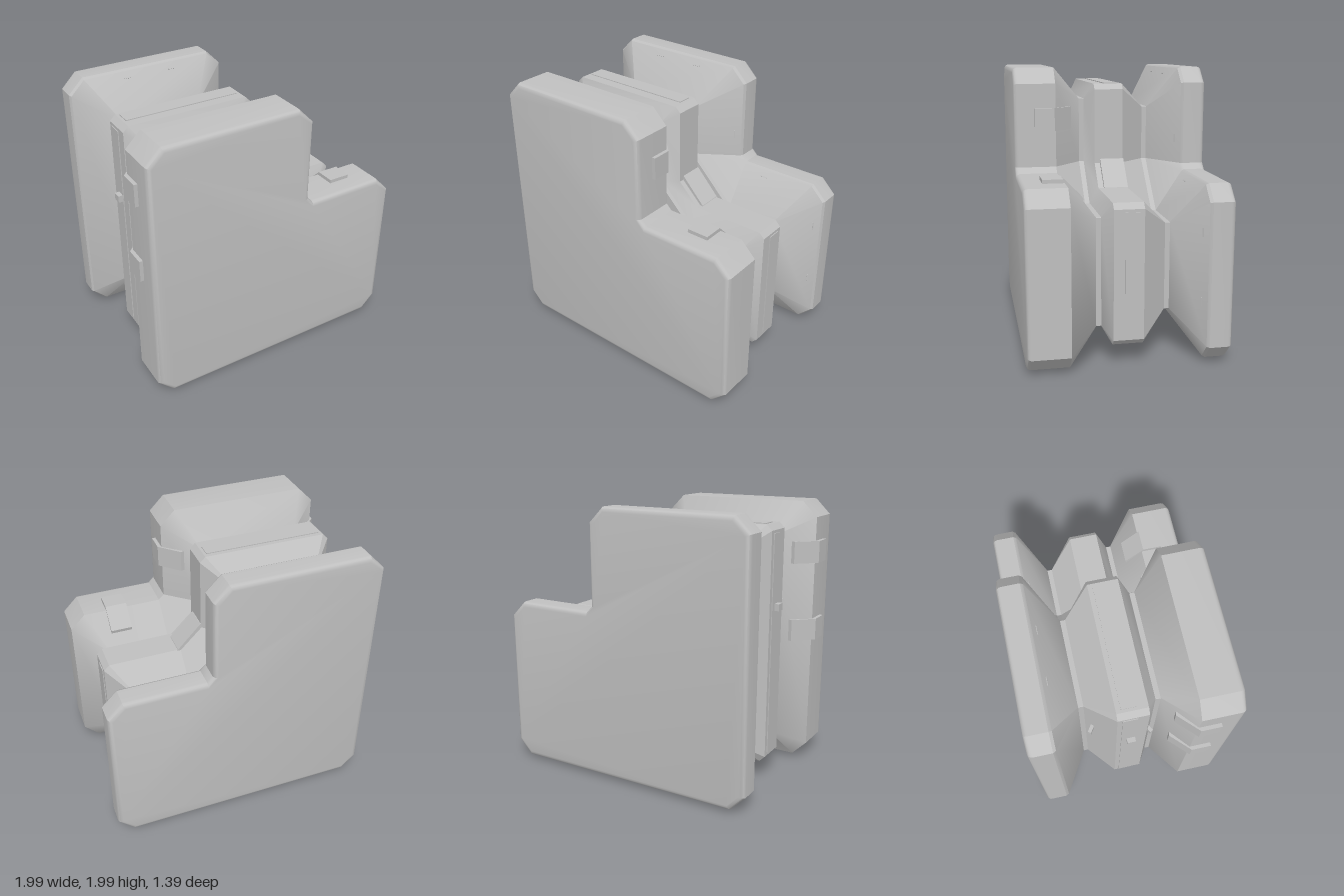
import * as THREE from 'three';
import { toCreasedNormals } from 'three/addons/utils/BufferGeometryUtils.js';

const L = -0.97, R = 0.99, B = 0.035, T = 2.0, NX = 0.25, NY = 1.26; // L-shaped outline and its notch

// Chamfered L outline pulled in by d, counter-clockwise from the bottom left
function outline(d) {
  const c = Math.max(0.11 - 0.586 * d, 0.003), n = 0.04 + d;
  const l = L + d, r = R - d, b = B + d, t = T - d, nx = NX - d, ny = NY - d;
  return [
    [l + c, b], [r - c, b], [r, b + c], [r, ny - c], [r - c, ny],
    [nx + n, ny], [nx, ny + n],
    [nx, t - c], [nx - c, t], [l + c, t], [l, t - c], [l, b + c],
  ].map(([x, y]) => new THREE.Vector2(x, y));
}

// Depth profile: [z, inset] from front to back
function bodyProfile() {
  const r = 0.035, p = [];
  for (let i = 0; i <= 4; i++) {
    const a = (i / 4) * Math.PI / 2;
    p.push([0.695 - r + r * Math.cos(a), r - r * Math.sin(a)]);
  }
  p.push([0.40, 0], [0.20, 0.23], [0.165, 0.23], [0.10, 0.12], [-0.11, 0.12],
    [-0.295, 0.30], [-0.33, 0.30], [-0.52, 0.012], [-0.54, 0]);
  for (let i = 4; i >= 0; i--) {
    const a = (i / 4) * Math.PI / 2;
    p.push([-0.70 + r - r * Math.cos(a), r - r * Math.sin(a)]);
  }
  return p;
}

function loft(profile) {
  const rings = profile.map(([z, d]) => outline(d).map(v => [v.x, v.y, z]));
  const n = rings[0].length, pos = [];
  const tri = (a, b, c) => pos.push(...a, ...b, ...c);
  for (let i = 0; i < rings.length - 1; i++) {
    for (let k = 0; k < n; k++) {
      const m = (k + 1) % n, f = rings[i], g = rings[i + 1];
      tri(f[k], g[k], f[m]);
      tri(f[m], g[k], g[m]);
    }
  }
  const first = rings[0], last = rings[rings.length - 1];
  for (const [a, b, c] of THREE.ShapeUtils.triangulateShape(outline(profile[0][1]), [])) {
    tri(first[a], first[b], first[c]);
    tri(last[a], last[c], last[b]);
  }
  const g = new THREE.BufferGeometry();
  g.setAttribute('position', new THREE.Float32BufferAttribute(pos, 3));
  return toCreasedNormals(g, 0.5);
}

// Extrude a (z, outward) outline along the wall; local +y points outward
function wallExtrude(points, width) {
  const s = new THREE.Shape(points.map(([z, o]) => new THREE.Vector2(-z, o)));
  const g = new THREE.ExtrudeGeometry(s, { depth: width, bevelEnabled: false });
  g.translate(0, 0, -width / 2);
  return g.rotateY(Math.PI / 2);
}

// Each wall: base position at a distance along it, and its turn about z
const walls = {
  left: { at: (s, o) => [L - o, s], turn: Math.PI / 2 },
  right: { at: (s, o) => [R + o, s], turn: -Math.PI / 2 },
  notchWall: { at: (s, o) => [NX + o, s], turn: -Math.PI / 2 },
  notchFloor: { at: (s, o) => [s, NY + o], turn: 0 },
  top: { at: (s, o) => [s, T + o], turn: 0 },
  bottom: { at: (s, o) => [s, B - o], turn: Math.PI },
};

export function createModel() {
  const model = new THREE.Group();
  model.name = 'steppedBlock';
  const gray = new THREE.MeshStandardMaterial({ color: 0xbfbfbf });
  gray.name = 'gray';

  const add = (name, geo, wall, along, out = 0, z = 0, tilt = 0) => {
    const m = new THREE.Mesh(geo, gray);
    m.name = name;
    if (wall) {
      const [x, y] = walls[wall].at(along, out);
      m.position.set(x, y, z);
      m.rotation.set(tilt, 0, walls[wall].turn, 'ZYX');
    }
    model.add(m);
    return m;
  };

  // Body with front slab, middle ridge and back slab
  add('body', loft(bodyProfile()));

  // Diagonal gusset in the ridge's inner corner
  const tri = new THREE.Shape([[0.11, 1.12], [0.32, 1.12], [0.31, 1.145], [0.135, 1.33], [0.11, 1.33]]
    .map(([x, y]) => new THREE.Vector2(x, y)));
  add('innerGusset', new THREE.ExtrudeGeometry(tri, { depth: 0.175, bevelEnabled: false }).translate(0, 0, -0.115));

  // Bent clips over the edge of the front slab
  const clip = wallExtrude([[0.55, -0.01], [0.55, 0.026], [0.41, 0.026], [0.275, -0.11], [0.285, -0.15], [0.40, -0.01]], 0.16);
  const clips = [['left', 1.64], ['left', 1.06], ['notchWall', 1.64],
    ['notchFloor', 0.63], ['bottom', 0.05], ['bottom', 0.63]];
  for (const [wall, s] of clips) add('edgeClip', clip, wall, s);

  // Thin strips along the middle ridge
  const strips = [['top', -0.79, 0.07], ['right', 0.22, 1.08], ['left', 0.22, 1.82], ['bottom', -0.79, 0.81]];
  for (const [wall, a, b] of strips) {
    add('ridgeStrip', new THREE.BoxGeometry(b - a, 0.012, 0.1), wall, (a + b) / 2, -0.12, -0.027);
  }

  // Small lugs on the left and bottom of the ridge
  for (const [wall, s] of [['left', 1.3], ['bottom', 0.3]]) {
    add('ridgeLug', new THREE.BoxGeometry(0.05, 0.04, 0.06), wall, s, -0.1, -0.01);
    add('frontLug', new THREE.BoxGeometry(0.05, 0.05, 0.025), wall, s, -0.15, 0.13, 0.5);
    add('backLug', new THREE.BoxGeometry(0.05, 0.06, 0.025), wall, s, -0.235, -0.265, -0.6);
  }

  // Short marks on the inner slope of the back slab
  const mark = new THREE.BoxGeometry(0.06, 0.008, 0.008);
  const marks = [['top', -0.53], ['top', -0.18], ['notchWall', 1.48], ['notchFloor', 0.48],
    ['right', 0.94], ['right', 0.46]];
  for (const [wall, s] of marks) add('slopeMark', mark, wall, s, -0.054, -0.49, 0.98);

  return model;
}
